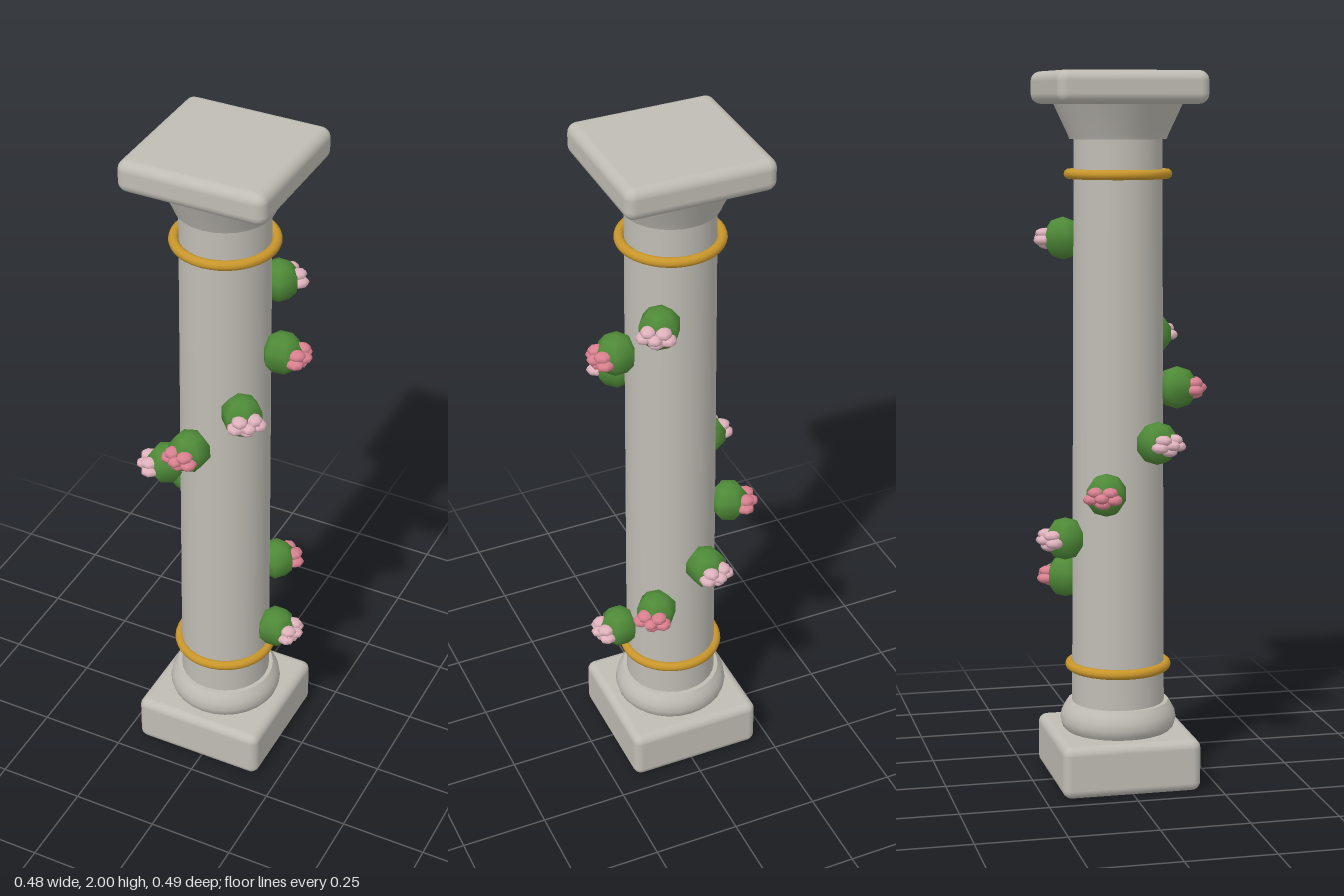
import * as THREE from 'three';
import { RoundedBoxGeometry } from 'three/addons/geometries/RoundedBoxGeometry.js';
import { toCreasedNormals } from 'three/addons/utils/BufferGeometryUtils.js';

const mat = (name, color) => {
  const m = new THREE.MeshStandardMaterial({ color });
  m.name = name;
  return m;
};

export function createModel() {
  const stone = mat('stone', 0xbfbcb4);
  const gold = mat('gold', 0xc9962b);
  const green = mat('leafGreen', 0x4f8a38);
  const pink = mat('pink', 0xd9808f);
  const palePink = mat('palePink', 0xdfb2bd);

  const model = new THREE.Group();
  model.name = 'floralColumn';
  // the column axis sits slightly off centre because of the flowers
  const column = new THREE.Group();
  column.name = 'column';
  column.position.set(-0.011, 0, -0.003);
  model.add(column);

  const add = (parent, name, geometry, material, x = 0, y = 0, z = 0) => {
    const mesh = new THREE.Mesh(geometry, material);
    mesh.name = name;
    mesh.position.set(x, y, z);
    parent.add(mesh);
    return mesh;
  };
  const lathe = (points) => toCreasedNormals(
    new THREE.LatheGeometry(points.map(([r, y]) => new THREE.Vector2(r, y)), 28), 0.7);

  // square slabs at both ends
  add(column, 'plinth', new RoundedBoxGeometry(0.394, 0.148, 0.394, 3, 0.025), stone, 0, 0.076, 0);
  add(column, 'abacus', new RoundedBoxGeometry(0.418, 0.09, 0.418, 3, 0.028), stone, 0, 1.955, 0);

  // round base moulding, tapered shaft and flared capital
  add(column, 'baseMoulding', lathe([
    [0, 0.145], [0.148, 0.145], [0.16, 0.16], [0.165, 0.178], [0.161, 0.2],
    [0.152, 0.217], [0.143, 0.23], [0, 0.23],
  ]), stone);
  add(column, 'shaft', new THREE.CylinderGeometry(0.122, 0.131, 1.62, 28), stone, 0, 1.03, 0);
  add(column, 'capital', lathe([
    [0, 1.815], [0.134, 1.815], [0.14, 1.83], [0.18, 1.915], [0, 1.915],
  ]), stone);

  // gold bands
  for (const y of [0.335, 1.72]) {
    const band = add(column, 'goldBand', new THREE.TorusGeometry(0.136, 0.014, 10, 40), gold, 0, y, 0);
    band.rotation.x = Math.PI / 2;
  }

  // flowers climbing in a spiral; local +x points away from the shaft
  const budGeometry = new THREE.SphereGeometry(0.06, 6, 5);
  const petalGeometry = new THREE.SphereGeometry(1, 7, 6);
  for (let i = 0; i < 9; i++) {
    const flower = new THREE.Group();
    flower.name = 'flower';
    flower.position.y = 0.435 + i * 0.138;
    flower.rotation.y = THREE.MathUtils.degToRad(52 * i);
    column.add(flower);
    add(flower, 'leafBud', budGeometry, green, 0.165, 0, 0);
    const color = i % 2 ? pink : palePink;
    for (let p = 0; p < 5; p++) {
      const a = -Math.PI / 2 + (p / 5) * Math.PI * 2;
      const petal = add(flower, 'petal', petalGeometry, color,
        0.213, Math.sin(a) * 0.017, Math.cos(a) * 0.034);
      petal.scale.set(0.026, 0.015, 0.023);
    }
    add(flower, 'flowerHeart', petalGeometry, color, 0.228, 0, 0).scale.set(0.023, 0.014, 0.021);
  }
  return model;
}
